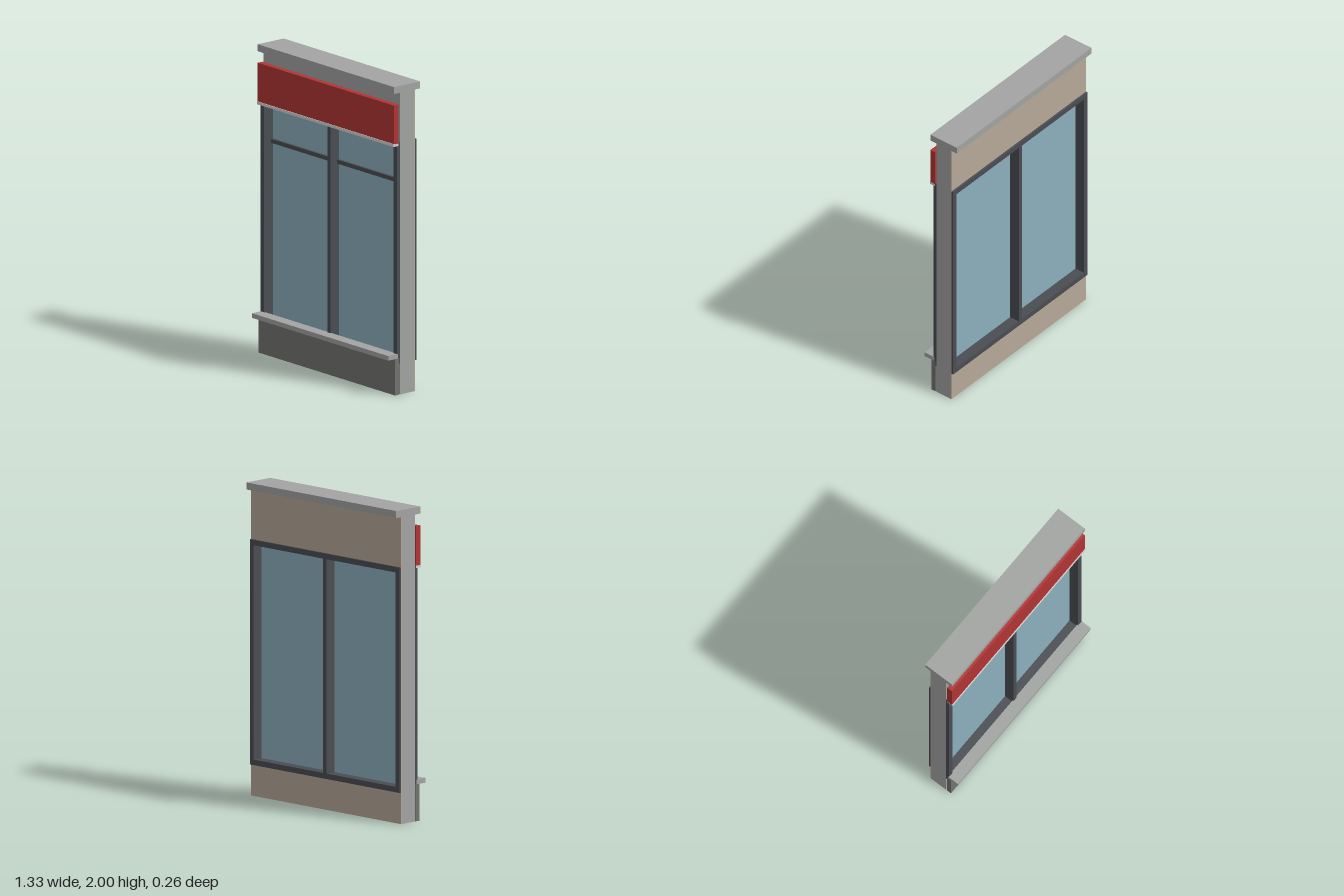
import * as THREE from 'three';

const mat = (name, color) => {
  const m = new THREE.MeshStandardMaterial({ color });
  m.name = name;
  return m;
};

export function createModel() {
  const group = new THREE.Group();
  const concrete = mat('concrete grey', 0xa2a4a2);
  const plinthGrey = mat('plinth grey', 0x73746f);
  const plaster = mat('back plaster', 0xb5a998);
  const frameGrey = mat('frame slate', 0x4a4d52);
  const glassBlue = mat('glass blue', 0x8cafbc);
  const red = mat('sign red', 0xb23434);
  const trimLight = mat('light trim', 0xd2d2d0);

  const W = 0.665; // half width of the whole bay

  const add = (name, geometry, material) => {
    const mesh = new THREE.Mesh(geometry, material);
    mesh.name = name;
    group.add(mesh);
    return mesh;
  };

  // Box given by its limits on each axis
  const box = (name, material, [x0, x1], [y0, y1], [z0, z1]) =>
    add(name, new THREE.BoxGeometry(x1 - x0, y1 - y0, z1 - z0), material)
      .position.set((x0 + x1) / 2, (y0 + y1) / 2, (z0 + z1) / 2);

  // Rectangular ring: outer and inner limits, extruded from z0 to z1
  const ring = (name, material, hw, [y0, y1], holeHw, [h0, h1], [z0, z1]) => {
    const rect = (P, w, a, b) =>
      new P([[-w, a], [w, a], [w, b], [-w, b]].map(([x, y]) => new THREE.Vector2(x, y)));
    const shape = rect(THREE.Shape, hw, y0, y1);
    shape.holes.push(rect(THREE.Path, holeHw, h0, h1));
    const geometry = new THREE.ExtrudeGeometry(shape, { depth: z1 - z0, bevelEnabled: false });
    add(name, geometry, material).position.z = z0;
  };

  // Wall with window opening, plastered on the back
  ring('wall', concrete, W, [0, 1.955], 0.645, [0.22, 1.62], [-0.08, 0.035]);
  ring('backPlaster', plaster, W, [0, 1.955], 0.645, [0.22, 1.62], [-0.087, -0.08]);
  box('cornice', concrete, [-W, W], [1.955, 2], [-0.13, 0.083]);

  // Window frame, standing proud on both sides of the wall
  ring('windowFrame', frameGrey, W - 0.001, [0.2, 1.635], 0.63, [0.235, 1.6], [-0.1, 0.058]);
  box('mullion', frameGrey, [-0.015, 0.015], [0.235, 1.6], [-0.1, 0.058]);

  // Panes and front transoms, one per side
  for (const s of [-1, 1]) {
    const span = [0.015 * s, 0.63 * s].sort((a, b) => a - b);
    box('glassPane', glassBlue, span, [0.235, 1.6], [-0.03, -0.012]);
    box('transom', frameGrey, span, [1.355, 1.381], [-0.012, 0.004]);
  }

  // Plinth and sill
  box('plinth', plinthGrey, [-W, W], [0, 0.235], [0.042, 0.075]);
  box('sill', concrete, [-W, W], [0.235, 0.265], [0.05, 0.13]);

  // Sign board with a light lower trim
  box('signBoard', red, [-W, W], [1.628, 1.88], [0.045, 0.083]);
  box('signTrim', trimLight, [-W, W], [1.612, 1.63], [0.045, 0.088]);

  return group;
}
